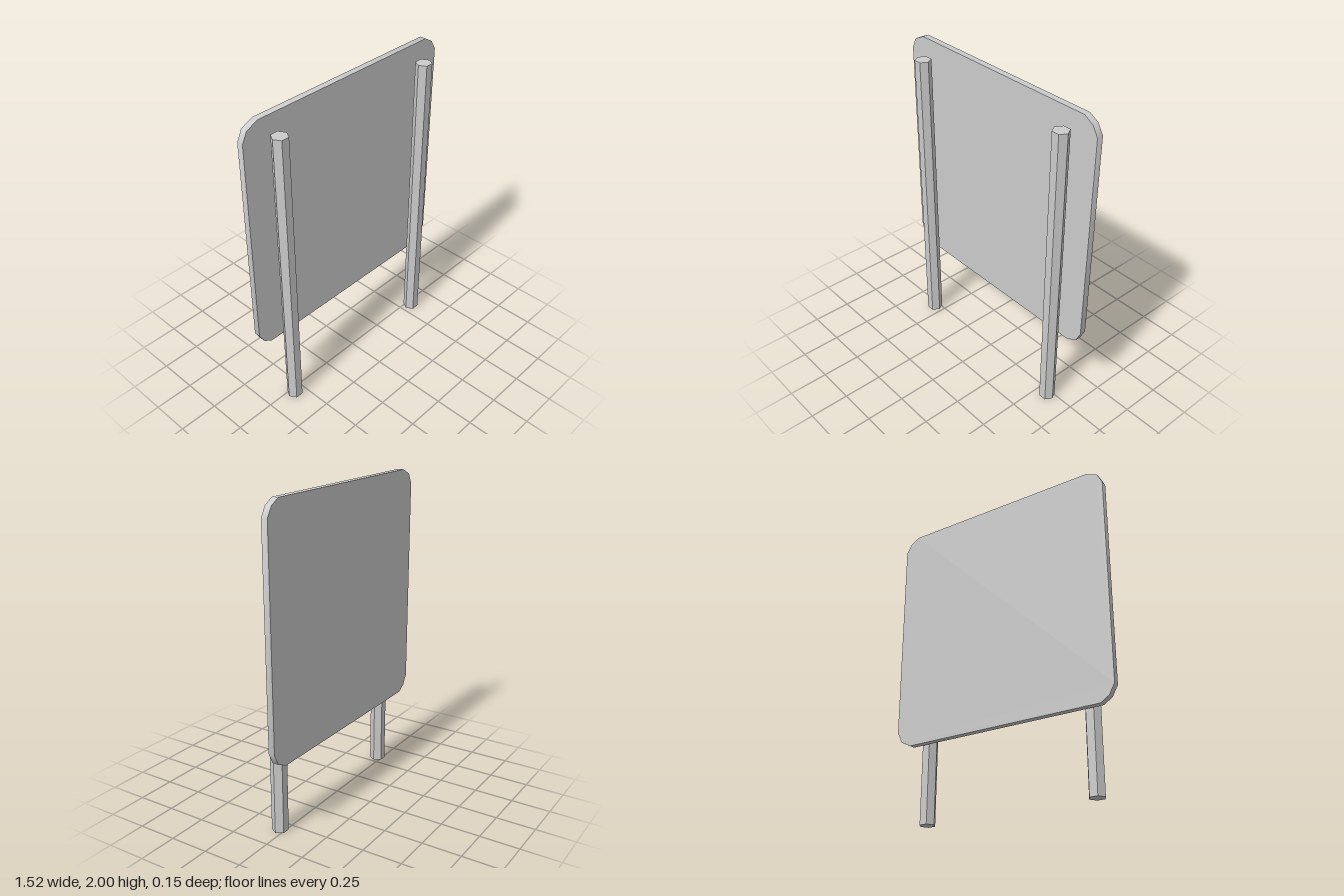
import * as THREE from 'three';
import { toCreasedNormals } from 'three/addons/utils/BufferGeometryUtils.js';

export function createModel() {
  const group = new THREE.Group();
  group.name = 'signBoard';

  // Board: slightly irregular square with clipped, softly shaded corners
  const outline = [
    [-0.67, 0.485], [0.65, 0.485], [0.72, 0.52], [0.753, 0.59],
    [0.76, 1.905], [0.725, 1.965], [0.665, 2], [-0.65, 2],
    [-0.725, 1.965], [-0.757, 1.9], [-0.76, 0.583], [-0.725, 0.52],
  ].map(([x, y]) => new THREE.Vector2(x, y));
  const boardGeometry = toCreasedNormals(
    new THREE.ExtrudeGeometry(new THREE.Shape(outline), { depth: 0.04, bevelEnabled: false }),
    Math.PI / 4
  );
  const board = new THREE.Mesh(boardGeometry, new THREE.MeshStandardMaterial({ color: 0xcccccc }));
  board.name = 'board';
  board.position.z = -0.076;
  group.add(board);

  // Posts: hexagonal, standing just in front of the board, corners toward the sides
  const postHeight = 1.9;
  const postGeometry = new THREE.CylinderGeometry(0.05, 0.05, postHeight, 6, 1, false, Math.PI / 6);
  const postMaterial = new THREE.MeshStandardMaterial({ color: 0xcccccc, flatShading: true });
  for (const [name, x] of [['rightPost', -0.569], ['leftPost', 0.575]]) {
    const post = new THREE.Mesh(postGeometry, postMaterial);
    post.name = name;
    post.position.set(x, postHeight / 2, 0.032);
    group.add(post);
  }

  return group;
}
